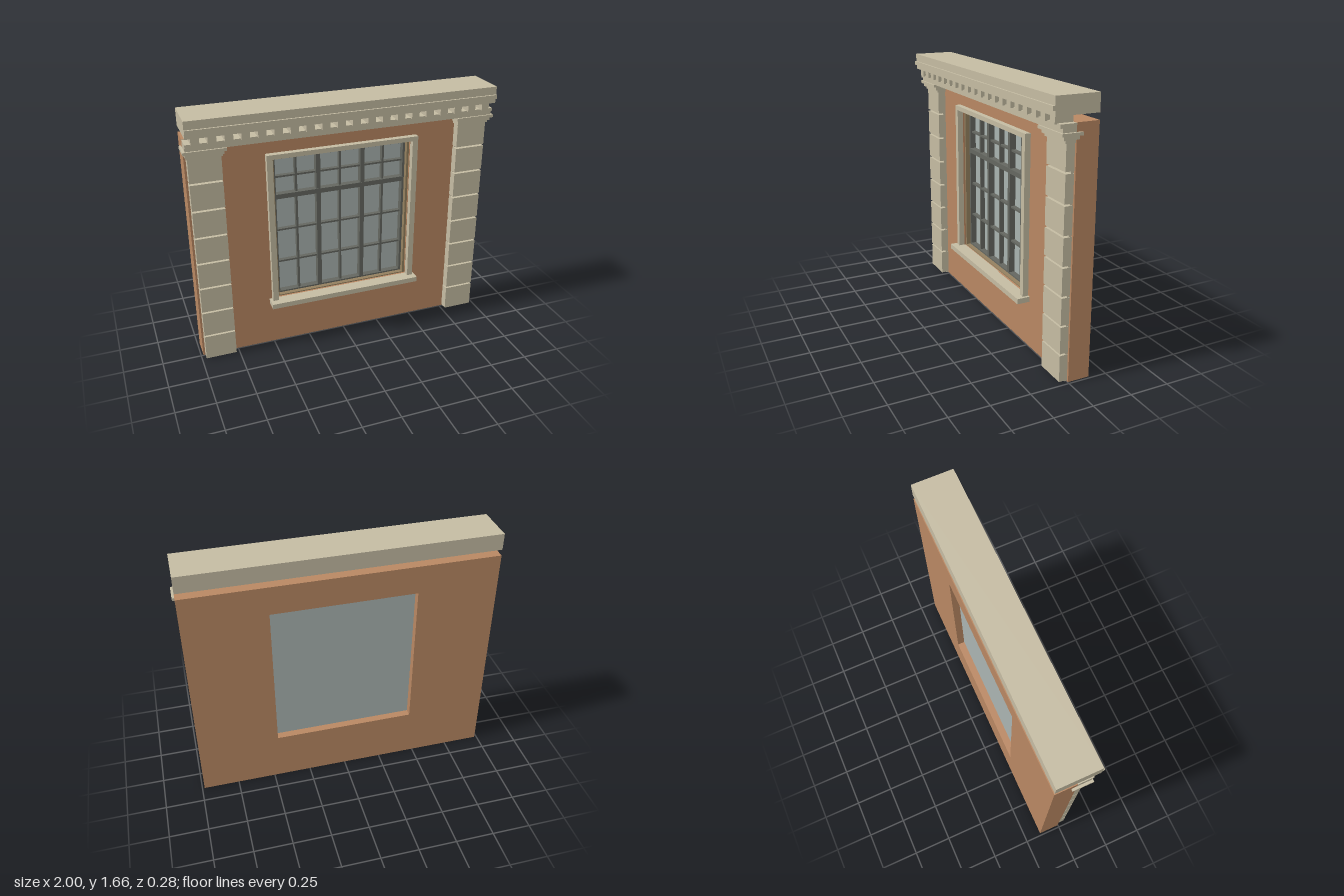
import * as THREE from 'three';

const mat = (name, color) => {
  const m = new THREE.MeshStandardMaterial({ color });
  m.name = name;
  return m;
};

export function createModel() {
  const stone = mat('stone', 0xc4bba2);
  const render = mat('terracotta wall', 0xb88762);
  const lining = mat('brown lining', 0x94805f);
  const metal = mat('dark window frame', 0x646760);
  const glass = mat('glass', 0xa9b3b0);

  const root = new THREE.Group();
  root.name = 'windowWall';
  const group = (name) => {
    const g = new THREE.Group();
    g.name = name;
    root.add(g);
    return g;
  };
  // Box given by its limits on each axis
  const box = (parent, name, material, x0, x1, y0, y1, z0, z1) => {
    const m = new THREE.Mesh(new THREE.BoxGeometry(x1 - x0, y1 - y0, z1 - z0), material);
    m.position.set((x0 + x1) / 2, (y0 + y1) / 2, (z0 + z1) / 2);
    m.name = name;
    parent.add(m);
  };
  // Rectangular plate with a rectangular opening
  const rect = (path, x, y0, y1) => path.moveTo(-x, y0).lineTo(x, y0).lineTo(x, y1).lineTo(-x, y1).closePath();
  const ring = (parent, name, material, [x, y0, y1], [hx, hy0, hy1], z0, z1) => {
    const s = rect(new THREE.Shape(), x, y0, y1);
    s.holes.push(rect(new THREE.Path(), hx, hy0, hy1));
    const m = new THREE.Mesh(new THREE.ExtrudeGeometry(s, { depth: z1 - z0, bevelEnabled: false }), material);
    m.position.z = z0;
    m.name = name;
    parent.add(m);
  };

  // Wall with its window opening
  ring(root, 'wall', render, [0.985, 0, 1.515], [0.461, 0.338, 1.328], -0.141, -0.003);

  // Rusticated corner pilasters with stepped capitals
  for (const side of [-1, 1]) {
    const p = group(side < 0 ? 'rightPilaster' : 'leftPilaster');
    const cx = side * 0.872;
    const centred = (name, half, y0, y1, z0, z1) =>
      box(p, name, stone, cx - half, cx + half, y0, y1, z0, z1);
    centred('pilasterCore', 0.096, 0, 1.41, -0.01, 0.014);
    for (let i = 0; i < 8; i++)
      centred('pilasterBlock', 0.1, i * 0.178 + 0.007, i === 7 ? 1.406 : (i + 1) * 0.178 - 0.005, -0.004, 0.05);
    centred('capitalNeck', 0.107, 1.406, 1.424, -0.01, 0.06);
    centred('capitalStep', 0.115, 1.424, 1.447, -0.02, 0.075);
    centred('capitalPlate', 0.128, 1.447, 1.465, -0.036, 0.092);
  }

  // Entablature: bands, dentils and overhanging cornice
  const e = group('entablature');
  box(e, 'lowerBand', stone, -0.985, 0.985, 1.465, 1.49, -0.003, 0.082);
  box(e, 'upperBand', stone, -0.985, 0.985, 1.49, 1.512, -0.003, 0.096);
  for (let i = 0; i < 20; i++) {
    const x = (i - 9.5) * 0.0975;
    box(e, 'dentil', stone, x - 0.025, x + 0.025, 1.508, 1.557, 0, 0.111);
  }
  box(e, 'corniceBase', stone, -0.985, 0.985, 1.555, 1.585, -0.141, 0.128);
  box(e, 'corniceLip', stone, -0.985, 0.985, 1.585, 1.611, -0.141, 0.143);
  box(e, 'corniceTop', stone, -0.985, 0.985, 1.611, 1.662, -0.141, 0.131);

  // Stone surround and sill
  const s = group('windowSurround');
  ring(s, 'casing', stone, [0.5, 0.33, 1.36], [0.463, 0.336, 1.33], -0.003, 0.035);
  box(s, 'sill', stone, -0.517, 0.517, 0.304, 0.338, -0.01, 0.08);
  box(s, 'sillMoulding', stone, -0.485, 0.485, 0.288, 0.304, -0.01, 0.045);
  ring(s, 'openingLining', lining, [0.461, 0.338, 1.328], [0.446, 0.345, 1.312], -0.085, -0.015);

  // Window frame, mullions, glazing bars and glass
  const w = group('window');
  ring(w, 'frame', metal, [0.446, 0.345, 1.312], [0.431, 0.355, 1.297], -0.086, -0.045);
  for (const x of [-0.15, 0.15]) box(w, 'mullion', metal, x - 0.014, x + 0.014, 0.35, 1.305, -0.086, -0.045);
  box(w, 'transom', metal, -0.44, 0.44, 1.03, 1.061, -0.086, -0.042);
  for (const x of [-0.295, 0, 0.295]) box(w, 'verticalBar', metal, x - 0.007, x + 0.007, 0.35, 1.305, -0.086, -0.055);
  for (const y of [0.575, 0.805, 1.176]) box(w, 'horizontalBar', metal, -0.44, 0.44, y - 0.006, y + 0.006, -0.086, -0.056);
  box(w, 'glass', glass, -0.461, 0.461, 0.338, 1.328, -0.093, -0.085);

  return root;
}
